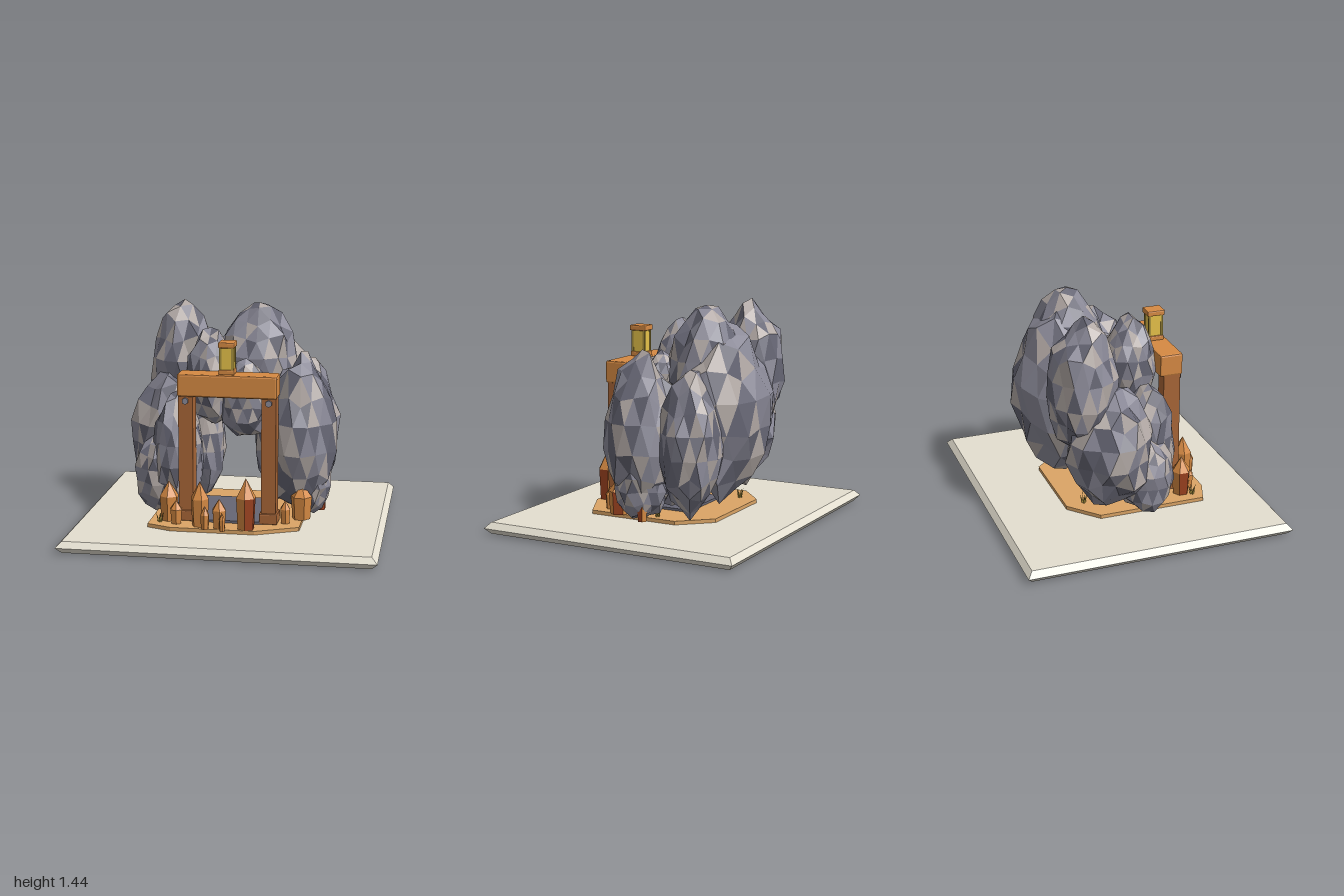
import * as THREE from 'three';
import { RoundedBoxGeometry } from 'three/addons/geometries/RoundedBoxGeometry.js';

const mat = (name, color, side = THREE.FrontSide) =>
  Object.assign(new THREE.MeshStandardMaterial({ color, flatShading: true, side }), { name });

export function createModel() {
  const stone = mat('plinth stone', 0xe4dfd0), sand = mat('sand', 0xdba566);
  const paleRock = mat('pale warm rock', 0xb3aaa6), rock = mat('grey rock', 0x8b8a98), darkRock = mat('dark rock', 0x666674);
  const post = mat('dark timber', 0xa86637), orange = mat('warm orange', 0xd68a43);
  const red = mat('red crystal', 0x9c4220);
  const glass = mat('yellow glass', 0xe6c24a), olive = mat('olive', 0xa8923e, THREE.DoubleSide);

  const model = new THREE.Group();
  const add = (name, geo, material, x = 0, y = 0, z = 0, parent = model) => {
    const m = new THREE.Mesh(geo, material);
    m.name = name;
    m.position.set(x, y, z);
    parent.add(m);
    return m;
  };
  const group = (name) => {
    const g = new THREE.Group();
    g.name = name;
    model.add(g);
    return g;
  };
  const box = (w, h, d, r = 0) => r ? new RoundedBoxGeometry(w, h, d, 1, r) : new THREE.BoxGeometry(w, h, d);

  // plinth: two mirrored square frustums give the pointed rim
  const inner = 0.963 * Math.SQRT2;
  [[Math.SQRT2, inner, 0.0188], [inner, Math.SQRT2, 0.0563]].forEach(([top, bottom, y], i) =>
    add(i ? 'plinthUpper' : 'plinthLower',
      new THREE.CylinderGeometry(top, bottom, 0.0375, 4).rotateY(Math.PI / 4).scale(1, 1, 0.88), stone, 0, y));

  // sandy ground and tunnel floor
  const outline = [[-0.5, 0.47], [-0.34, 0.53], [0.2, 0.53], [0.47, 0.4], [0.47, -0.21], [0.29, -0.41], [-0.31, -0.41], [-0.5, -0.24]];
  const shape = new THREE.Shape(outline.map(([x, z]) => new THREE.Vector2(x, -z)));
  add('sandPatch', new THREE.ExtrudeGeometry(shape, { depth: 0.024, bevelEnabled: false }).rotateX(-Math.PI / 2), sand, 0, 0.075);
  add('tunnelFloor', box(0.46, 0.016, 0.56), darkRock, 0, 0.107, 0.1);

  // boulders: spheres of flat facets, jittered by a position hash, with three tones of facet
  const hash = (x, y, z, seed) => {
    const s = Math.sin(Math.round(x * 100) * 12.99 + Math.round(y * 100) * 78.23 + Math.round(z * 100) * 37.72 + seed * 9.17) * 43758.5;
    return s - Math.floor(s);
  };
  const boulder = (seed, rx, ry, rz, hollow) => {
    const src = new THREE.IcosahedronGeometry(1, 2).rotateZ(0.5536).rotateY(seed * 1.3);
    const p = src.attributes.position;
    const tones = [[], [], []];
    for (let i = 0; i < p.count; i += 3) {
      const mid = [0, 0, 0], corners = [];
      for (let j = i; j < i + 3; j++) {
        const x = p.getX(j), y = p.getY(j), z = p.getZ(j);
        const k = 0.87 + 0.2 * hash(x, y, z, seed);
        const peak = y > 0 ? 1 - 0.16 * y * y : 1;
        corners.push(x * k * peak * rx, (y > 0.99 ? 1.02 : y * k) * ry, z * k * peak * rz);
        [x, y, z].forEach((v, n) => { mid[n] += v / 3; });
      }
      // leave the tunnel mouth open
      if (hollow && mid[2] > 0 && mid[1] < -0.1) continue;
      const t = hash(...mid, seed + 5);
      tones[t < 0.27 ? 0 : t < 0.72 ? 1 : 2].push(...corners);
    }
    const geo = new THREE.BufferGeometry();
    geo.setAttribute('position', new THREE.Float32BufferAttribute(tones.flat(), 3));
    let start = 0;
    tones.forEach((t, i) => {
      geo.addGroup(start, t.length / 3, i);
      start += t.length / 3;
    });
    geo.computeVertexNormals();
    return geo;
  };
  const rocks = group('rockArch');
  [
    ['tallLeftRock', -0.4, 0.97, -0.32, 0.24, 0.46, 0.23],
    ['lowerLeftRock', -0.46, 0.57, -0.17, 0.28, 0.42, 0.28],
    ['lowLeftFrontRock', -0.48, 0.34, 0.07, 0.19, 0.27, 0.19],
    ['leftWallRock', -0.36, 0.5, 0.13, 0.17, 0.4, 0.18],
    ['innerLeftRock', -0.23, 0.54, -0.06, 0.15, 0.38, 0.16],
    ['archLeftRock', -0.15, 0.99, 0.07, 0.18, 0.32, 0.18],
    ['archRightRock', 0.08, 0.86, 0.1, 0.18, 0.26, 0.15],
    ['topRock', 0.12, 1.03, -0.25, 0.26, 0.4, 0.25],
    ['innerRightRock', 0.27, 0.56, -0.08, 0.15, 0.4, 0.16],
    ['rightRock', 0.43, 0.63, 0.04, 0.24, 0.53, 0.26],
    ['backRightRock', 0.45, 0.6, -0.31, 0.21, 0.46, 0.21],
    ['lowRightRock', 0.49, 0.33, 0.02, 0.14, 0.25, 0.18],
    ['backRock', 0.06, 0.75, -0.33, 0.45, 0.58, 0.29, true],
  ].forEach(([name, x, y, z, ...size], i) =>
    add(name, boulder(i + 1, ...size), [paleRock, rock, darkRock], x, y, z, rocks));

  // timber gateway
  const gate = group('gateway');
  for (const s of [-1, 1]) {
    add('post', box(0.094, 0.83, 0.113), post, s * 0.267, 0.51, 0.312, gate);
    add('postFoot', box(0.118, 0.07, 0.14, 0.008), post, s * 0.267, 0.135, 0.312, gate);
    add('bolt', new THREE.CylinderGeometry(0.022, 0.022, 0.02, 6).rotateX(Math.PI / 2), rock, s * 0.267, 0.89, 0.376, gate);
  }
  add('lintel', box(0.64, 0.145, 0.155, 0.012), orange, 0, 0.99, 0.305, gate);

  // lantern on the lintel
  const lantern = group('lantern');
  add('lanternBase', box(0.1, 0.032, 0.11, 0.006), orange, -0.006, 1.077, 0.302, lantern);
  add('lanternGlass', box(0.08, 0.145, 0.086), glass, -0.006, 1.16, 0.302, lantern);
  add('lanternCap', box(0.105, 0.036, 0.12, 0.008), orange, -0.006, 1.25, 0.302, lantern);
  for (const sx of [-1, 1]) for (const sz of [-1, 1])
    add('lanternBar', box(0.014, 0.145, 0.014), olive, -0.006 + sx * 0.038, 1.16, 0.302 + sz * 0.042, lantern);

  // crystals: x, z, radius, top height, first and number of red sides
  const crystals = group('crystals');
  [
    [-0.38, 0.36, 0.063, 0.36, 4, 1], [-0.32, 0.43, 0.042, 0.25, 1, 0], [-0.16, 0.46, 0.06, 0.39, 1, 1],
    [-0.115, 0.53, 0.03, 0.25, 1, 0], [-0.03, 0.49, 0.048, 0.29, 1, 0], [0, 0.56, 0.02, 0.22, 1, 0],
    [0.14, 0.48, 0.066, 0.43, 0, 2], [0.37, 0.32, 0.035, 0.25, 1, 0], [0.46, 0.2, 0.07, 0.34, 1, 1],
    [0.565, -0.03, 0.036, 0.27, 0, 2],
  ].forEach(([x, z, r, top, first, count], i) => {
    const h = top - 0.1, bodyH = h * 0.62;
    const body = new THREE.CylinderGeometry(r, r * 0.85, bodyH, 6);
    body.clearGroups();
    body.addGroup(0, first * 6, 0);
    body.addGroup(first * 6, count * 6, 1);
    body.addGroup((first + count) * 6, Infinity, 0);
    const c = new THREE.Group();
    c.name = 'crystal';
    c.position.set(x, 0.1, z);
    c.rotation.y = (i % 3) * 0.2;
    crystals.add(c);
    add('crystalBody', body, [orange, red], 0, bodyH / 2, 0, c);
    add('crystalTip', new THREE.ConeGeometry(r, h - bodyH, 6), orange, 0, (h + bodyH) / 2, 0, c);
  });

  // grass tufts
  for (const [x, z] of [[-0.43, 0.42], [-0.3, -0.29], [0.42, -0.06]]) {
    const tuft = group('grassTuft');
    tuft.position.set(x, 0.1, z);
    for (let i = 0; i < 4; i++) {
      const a = i * Math.PI / 2;
      const blade = add('grassBlade', new THREE.ConeGeometry(0.007, 0.07, 3, 1, true).translate(0, 0.035, 0), olive,
        Math.cos(a) * 0.008, 0, Math.sin(a) * 0.008, tuft);
      blade.rotation.set(Math.sin(a) * 0.25, 0, -Math.cos(a) * 0.25);
    }
  }
  return model;
}
